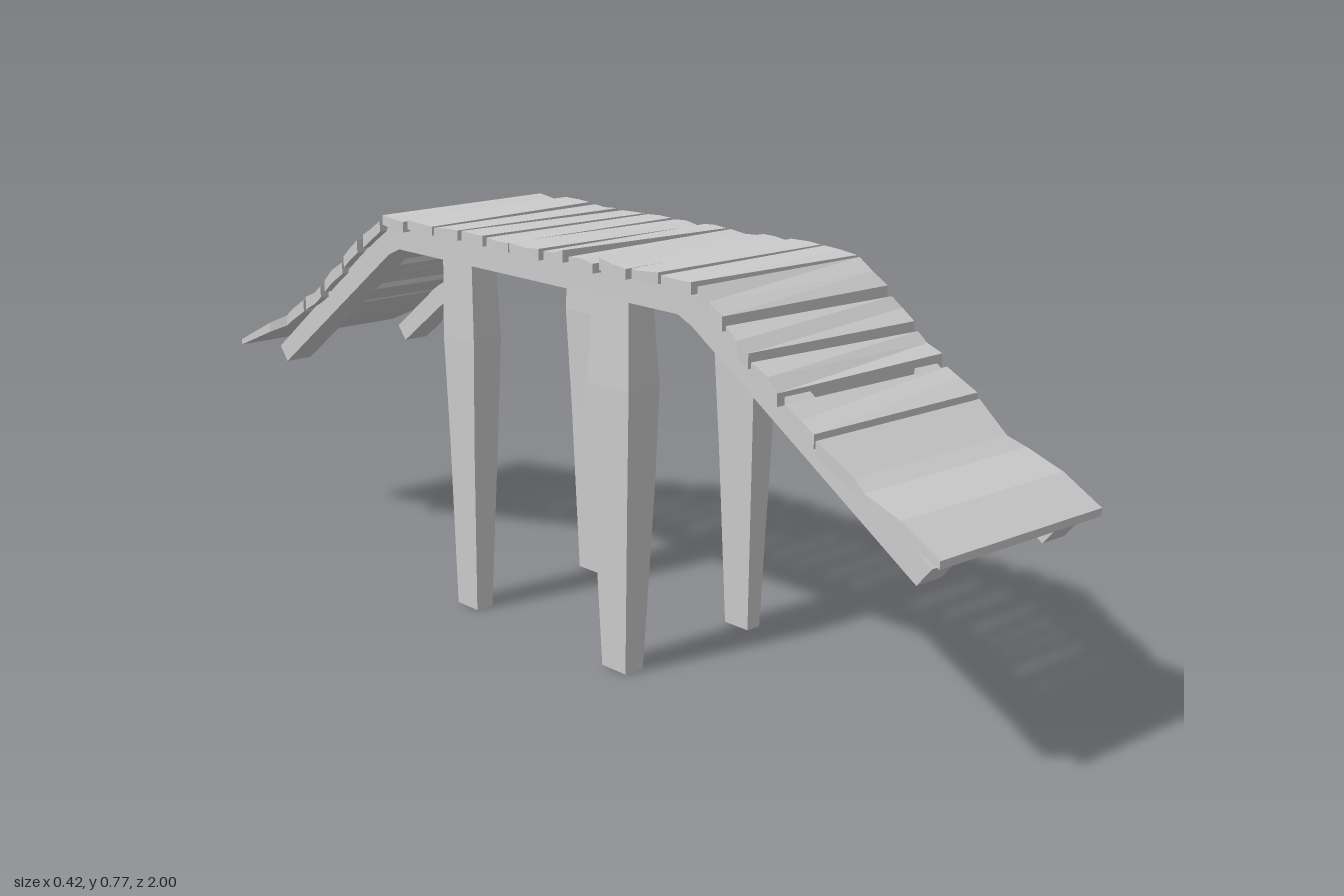
import * as THREE from 'three';

const material = new THREE.MeshStandardMaterial({ color: 0xcccccc, flatShading: true, side: THREE.DoubleSide });

// Small repeatable noise in the range -1..1
let seed = 7;
const jitter = (amount) => {
  seed = (seed * 16807) % 2147483647;
  return (seed / 2147483647 * 2 - 1) * amount;
};

// Skins a row of four-cornered rings, each counter-clockwise about the direction of travel
function loft(rings, capStart, capEnd) {
  const pos = [];
  const quad = (a, b, c, d) => pos.push(...a, ...b, ...c, ...a, ...c, ...d);
  for (let i = 0; i < rings.length - 1; i++) {
    for (let k = 0; k < 4; k++) {
      const n = (k + 1) % 4;
      quad(rings[i][k], rings[i][n], rings[i + 1][n], rings[i + 1][k]);
    }
  }
  const s = rings[0], e = rings[rings.length - 1];
  if (capStart) quad(s[3], s[2], s[1], s[0]);
  if (capEnd) quad(e[0], e[1], e[2], e[3]);
  const g = new THREE.BufferGeometry();
  g.setAttribute('position', new THREE.Float32BufferAttribute(pos, 3));
  g.computeVertexNormals();
  return g;
}

function add(parent, name, geometry) {
  const mesh = new THREE.Mesh(geometry, material);
  mesh.name = name;
  parent.add(mesh);
  return mesh;
}

// Board stations run from back to front: [z, top y, thickness, right x, left x]
const board = (stations) => loft(stations.map(([z, y, t, x0, x1]) => [
  [x0, y - t, z], [x1, y - t, z], [x1, y, z], [x0, y, z],
]), true, true);

// Rough plank: slightly skewed edges and a worn middle at each end
function plank(z0, y0, z1, y1, t) {
  const ring = (z, y, wear) => {
    const x0 = -0.205 + jitter(0.003) + wear, x1 = 0.2 + jitter(0.003) - wear;
    const s = jitter(0.004), h = jitter(0.003);
    return [[x0, y - t, z + s], [x1, y - t, z - s], [x1, y + h, z - s], [x0, y - h, z + s]];
  };
  const mid = ring((z0 + z1) / 2, (y0 + y1) / 2, jitter(0.004));
  return loft([ring(z0, y0, 0), mid, ring(z1, y1, 0)], true, true);
}

export function createModel() {
  const model = new THREE.Group();
  model.name = 'footbridge';

  // Side rails: flat in the middle, sloping down at both ends
  const outline = [
    [0.94, 0.36], [0.43, 0.685], [0.395, 0.7], [-0.415, 0.7], [-0.45, 0.685], [-0.845, 0.395],
    [-0.87, 0.425], [-0.475, 0.725], [-0.43, 0.75], [0.42, 0.75], [0.46, 0.73], [0.97, 0.395],
  ];
  const shape = new THREE.Shape(outline.map(([z, y]) => new THREE.Vector2(-z, y)));
  for (const [name, x] of [['rightRail', -0.188], ['leftRail', 0.126]]) {
    const g = new THREE.ExtrudeGeometry(shape, { depth: 0.059, bevelEnabled: false });
    g.rotateY(Math.PI / 2);
    g.translate(x, 0, 0);
    add(model, name, g);
  }

  // Legs: [y, x0, x1, z0, z1] rings from foot to rail
  const legs = {
    frontRightLeg: [[0, -0.18, -0.137, 0.19, 0.255], [0.36, -0.189, -0.122, 0.173, 0.269],
      [0.54, -0.192, -0.118, 0.163, 0.275], [0.71, -0.187, -0.13, 0.172, 0.268]],
    frontLeftLeg: [[0.005, 0.14, 0.172, 0.188, 0.25], [0.36, 0.129, 0.18, 0.175, 0.264],
      [0.54, 0.122, 0.18, 0.167, 0.272], [0.71, 0.127, 0.184, 0.172, 0.266]],
    backRightLeg: [[0, -0.178, -0.14, -0.255, -0.193], [0.34, -0.184, -0.126, -0.263, -0.185],
      [0.55, -0.188, -0.122, -0.272, -0.176], [0.71, -0.187, -0.13, -0.27, -0.18]],
    backLeftLeg: [[0.005, 0.14, 0.172, -0.252, -0.195], [0.36, 0.13, 0.182, -0.264, -0.186],
      [0.56, 0.123, 0.18, -0.273, -0.176], [0.71, 0.127, 0.184, -0.268, -0.18]],
  };
  for (const [name, rows] of Object.entries(legs)) {
    add(model, name, loft(rows.map(([y, x0, x1, z0, z1]) => [
      [x0, y, z0], [x0, y, z1], [x1, y, z1], [x1, y, z0],
    ]), false, true));
  }

  // Flat deck planks: pairs of back and front edges
  const deck = new THREE.Group();
  deck.name = 'deckPlanks';
  model.add(deck);
  const edges = [
    [-0.447, -0.375], [-0.36, -0.285], [-0.272, -0.2], [-0.188, -0.12], [-0.11, -0.045],
    [-0.035, 0.042], [0.052, 0.115], [0.126, 0.2], [0.212, 0.278], [0.29, 0.358], [0.37, 0.447],
  ];
  edges.forEach(([a, b], i) => {
    const y = 0.767 + jitter(0.003), tilt = jitter(0.004);
    add(deck, `deckPlank${i + 1}`, plank(a, y + tilt, b, y - tilt, 0.02));
  });

  // Ramp planks, stepping down to each end: [z0, y0, z1, y1]
  const ramps = {
    backRampPlank: [[-0.52, 0.715, -0.457, 0.757], [-0.588, 0.665, -0.532, 0.703],
      [-0.66, 0.603, -0.6, 0.651], [-0.737, 0.553, -0.67, 0.59]],
    frontRampPlank: [[0.458, 0.76, 0.52, 0.718], [0.53, 0.702, 0.585, 0.666],
      [0.593, 0.651, 0.652, 0.616], [0.664, 0.597, 0.733, 0.563]],
  };
  for (const [name, rows] of Object.entries(ramps)) {
    const group = new THREE.Group();
    group.name = name + 's';
    model.add(group);
    rows.forEach((r, i) => add(group, `${name}${i + 1}`, plank(...r, 0.025)));
  }

  // Wide bent boards at both ends, with worn sides
  add(model, 'frontEndBoard', board([
    [0.738, 0.553, 0.024, -0.207, 0.2], [0.81, 0.505, 0.024, -0.192, 0.188],
    [0.84, 0.489, 0.022, -0.203, 0.203], [0.92, 0.464, 0.022, -0.207, 0.2], [1, 0.42, 0.014, -0.207, 0.2],
  ]));
  add(model, 'backEndBoard', board([
    [-1, 0.42, 0.012, -0.207, 0.2], [-0.88, 0.477, 0.02, -0.207, 0.2], [-0.845, 0.496, 0.022, -0.185, 0.205],
    [-0.8, 0.518, 0.024, -0.2, 0.202], [-0.742, 0.549, 0.025, -0.207, 0.2],
  ]));

  return model;
}
